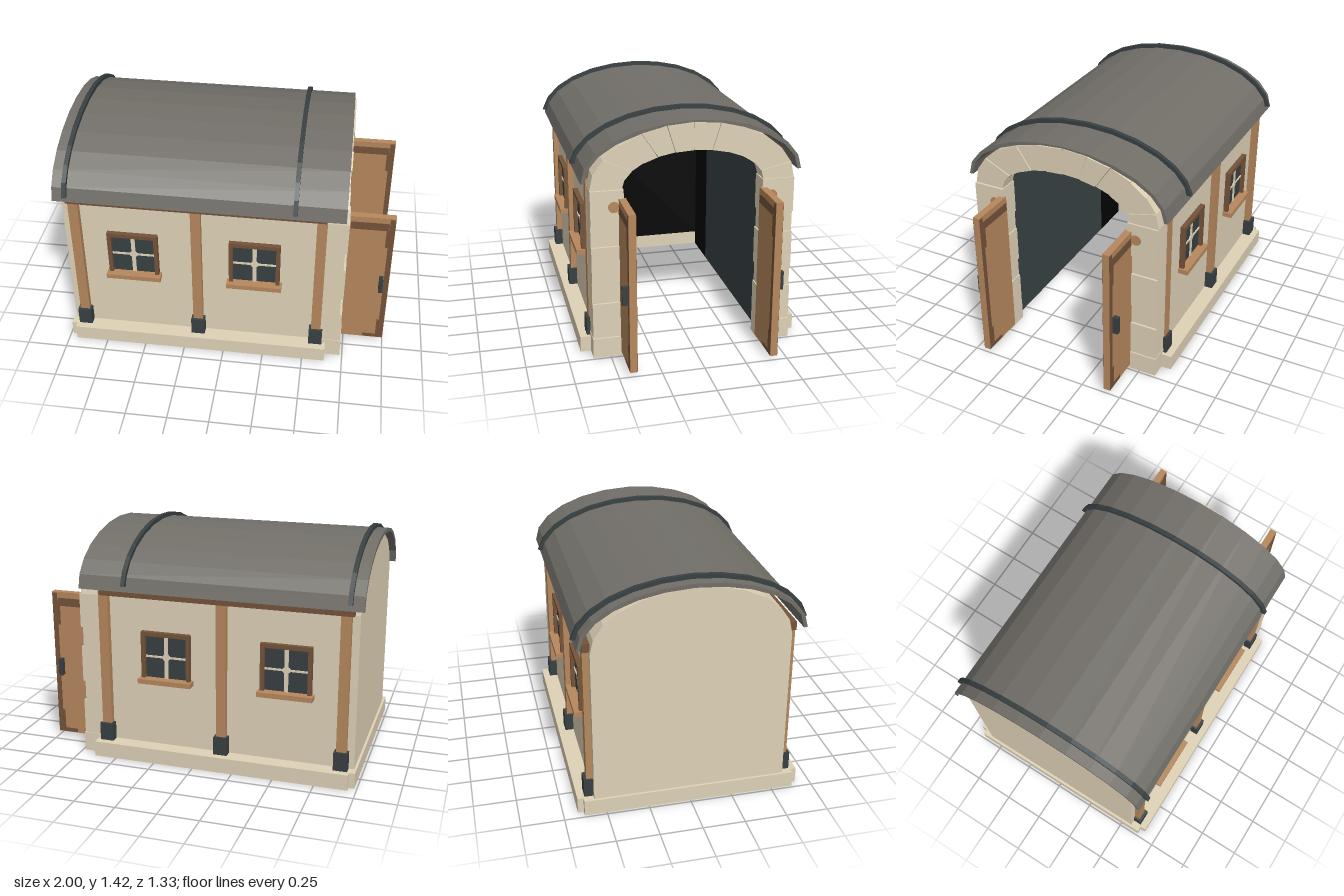
import * as THREE from 'three';

const mat = (name, color, extra = {}) => {
  const m = new THREE.MeshStandardMaterial({ color, flatShading: true, ...extra });
  m.name = name;
  return m;
};

export function createModel() {
  const stone = mat('stone', 0xded1b6);
  const wood = mat('wood', 0xb6885d);
  const darkWood = mat('darkWood', 0x74533a);
  const metal = mat('darkMetal', 0x384041);
  const lining = mat('lining', 0x384244, { side: THREE.DoubleSide });
  const black = mat('black', 0x020202, { side: THREE.DoubleSide });
  const roofing = mat('roofing', 0x726f69);

  const root = new THREE.Group();
  root.name = 'vaultedHut';

  const add = (name, geo, material, parent = root) => {
    const m = new THREE.Mesh(geo, material);
    m.name = name;
    parent.add(m);
    return m;
  };
  // Box given by its limits on each axis
  const box = (name, material, x0, x1, y0, y1, z0, z1, parent = root) => {
    const m = add(name, new THREE.BoxGeometry(x1 - x0, y1 - y0, z1 - z0), material, parent);
    m.position.set((x0 + x1) / 2, (y0 + y1) / 2, (z0 + z1) / 2);
    return m;
  };
  // Same box on both long sides, z limits given for the front
  const pair = (name, material, x0, x1, y0, y1, z0, z1) => {
    box(name, material, x0, x1, y0, y1, z0, z1);
    box(name, material, x0, x1, y0, y1, -z1, -z0);
  };
  // Extrude a [z, y] outline along x
  const along = (pts, x0, x1) => {
    const shape = new THREE.Shape(pts.map(([z, y]) => new THREE.Vector2(-z, y)));
    const g = new THREE.ExtrudeGeometry(shape, { depth: x1 - x0, bevelEnabled: false });
    return g.rotateY(Math.PI / 2).translate(x0, 0, 0);
  };
  // Points of an elliptical arc standing on the line y = base
  const SPRING = 1.025, EAVES = 1.07;
  const oval = (a, rz, ry, base = SPRING) => [rz * Math.sin(a), base + ry * Math.cos(a)];
  const vault = (rz, ry, base = SPRING, reach = Math.PI / 2) =>
    Array.from({ length: 13 }, (_, i) => oval((i / 6 - 1) * reach, rz, ry, base));

  // Plinth, open to the ground inside
  pair('sidePlinth', stone, -0.95, 0.64, 0, 0.095, 0.455, 0.665);
  box('rearPlinth', stone, -0.985, -0.87, 0, 0.095, -0.63, 0.63);

  // Walls and vault as one tunnel, closed at the rear
  const outer = [[-0.57, 0.09], ...vault(0.57, 0.335), [0.57, 0.09]];
  const inner = [[-0.46, 0.09], ...vault(0.46, 0.21), [0.46, 0.09]];
  add('walls', along([...outer, ...inner.slice().reverse()], -0.88, 0.62), stone);
  add('rearWall', along(outer, -0.97, -0.88), stone);

  // Interior lining: dark near the door, black in the depth
  const path = [[-0.45, 0], ...vault(0.45, 0.203), [0.45, 0]];
  const tunnel = (x0, x1) => {
    const pos = [], idx = [];
    path.forEach(([z, y], i) => {
      pos.push(x0, y, z, x1, y, z);
      const k = i * 2;
      if (i) idx.push(k - 2, k - 1, k, k - 1, k + 1, k);
    });
    const g = new THREE.BufferGeometry();
    g.setAttribute('position', new THREE.Float32BufferAttribute(pos, 3));
    g.setIndex(idx);
    g.computeVertexNormals();
    return g;
  };
  add('interiorLining', tunnel(-0.58, 0.615), lining);
  add('interiorDepth', tunnel(-0.868, -0.58), black);
  add('interiorRear', along([[-0.455, 0.095], ...vault(0.455, 0.206), [0.455, 0.095]], -0.873, -0.866), black);

  // Arch stones around the doorway
  for (let i = 0; i < 12; i++) {
    const a = -Math.PI / 2 + (i * Math.PI) / 12 + 0.003;
    const b = a + Math.PI / 12 - 0.006;
    const pts = [oval(a, 0.6, 0.36), oval(b, 0.6, 0.36), oval(b, 0.415, 0.2), oval(a, 0.415, 0.2)];
    add('archStone', along(pts, 0.605, i % 2 ? 0.715 : 0.72), stone);
  }
  // Jamb stones and feet, alternating tall and short
  const courses = [0.095, 0.125, 0.34, 0.465, 0.69, 0.815, 1.026];
  for (let i = 0; i < courses.length - 1; i++) {
    const tall = i % 2;
    pair('jambStone', stone, 0.605, tall ? 0.73 : 0.716, courses[i], courses[i + 1], tall ? 0.408 : 0.416, 0.6);
  }
  pair('jambFoot', stone, 0.6, 0.735, 0, 0.122, 0.41, 0.603);

  // Curved roof sheet
  const roofOutline = [...vault(0.647, 0.326, EAVES), ...vault(0.625, 0.302, EAVES).reverse()];
  add('roof', along(roofOutline, -1, 0.71), roofing);

  // Roof straps, which stop short of the eaves
  const reach = 1.462;
  const strapOutline = [...vault(0.67, 0.35, EAVES, reach), ...vault(0.635, 0.314, EAVES, reach).reverse()];
  for (const x of [-0.922, 0.42])
    add('roofStrap', along(strapOutline, x - 0.013, x + 0.013), metal);

  // Timber plates, posts and metal shoes
  pair('wallPlate', darkWood, -0.94, 0.6, 1.028, 1.08, 0.565, 0.607);
  for (const x of [-0.895, -0.165, 0.575]) {
    pair('post', wood, x - 0.03, x + 0.03, 0.095, 1.065, 0.56, 0.606);
    pair('postShoe', metal, x - 0.042, x + 0.042, 0.095, 0.207, 0.56, 0.622);
  }

  // Windows
  for (const side of [1, -1]) for (const x of [-0.555, 0.185]) {
    const w = new THREE.Group();
    w.name = 'window';
    w.position.set(x, 0.665, side * 0.57);
    w.rotation.y = side > 0 ? 0 : Math.PI;
    root.add(w);
    box('pane', metal, -0.135, 0.135, -0.135, 0.135, -0.002, 0.006, w);
    for (const s of [-1, 1]) {
      box('frameSide', darkWood, s * 0.142 - 0.012, s * 0.142 + 0.012, -0.135, 0.157, 0, 0.03, w);
    }
    box('frameTop', darkWood, -0.13, 0.13, 0.132, 0.157, 0, 0.03, w);
    box('mullion', stone, -0.012, 0.012, -0.135, 0.132, 0.004, 0.012, w);
    box('transom', stone, -0.13, 0.13, -0.006, 0.006, 0.004, 0.012, w);
    box('crossBoss', stone, -0.022, 0.022, -0.022, 0.022, 0.004, 0.013, w).rotation.z = Math.PI / 4;
    box('sill', wood, -0.167, 0.167, -0.163, -0.133, 0, 0.062, w);
  }

  // Open doors with worn dark edges, handles and hinge pegs
  for (const s of [1, -1]) {
    const d = new THREE.Group();
    d.name = 'door';
    d.position.z = s * 0.416;
    root.add(d);
    box('doorLeaf', wood, 0.717, 1, 0.027, 0.975, -0.021, 0.021, d);
    for (const f of [1, -1]) {
      const z0 = f > 0 ? 0.0205 : -0.0225, z1 = z0 + 0.002;
      box('darkTop', darkWood, 0.72, 0.965, 0.885, 0.937, z0, z1, d);
      box('darkEdge', darkWood, 0.967, 0.999, 0.03, 0.968, z0, z1, d);
      box('darkCorner', darkWood, 0.95, 0.967, 0.76, 0.885, z0, z1, d);
      box('darkCorner', darkWood, 0.952, 0.967, 0.055, 0.18, z0, z1, d);
      box('darkBottom', darkWood, 0.87, 0.967, 0.03, 0.055, z0, z1, d);
    }
    const h = s > 0 ? [0.02, 0.054] : [-0.054, -0.02];
    box('handle', metal, 0.938, 0.964, 0.43, 0.54, h[0], h[1], d);

    const peg = add('hingePeg', new THREE.CylinderGeometry(0.033, 0.033, 0.06, 12).rotateZ(Math.PI / 2), wood);
    peg.position.set(0.705, 0.928, s * 0.465);
  }

  return root;
}
